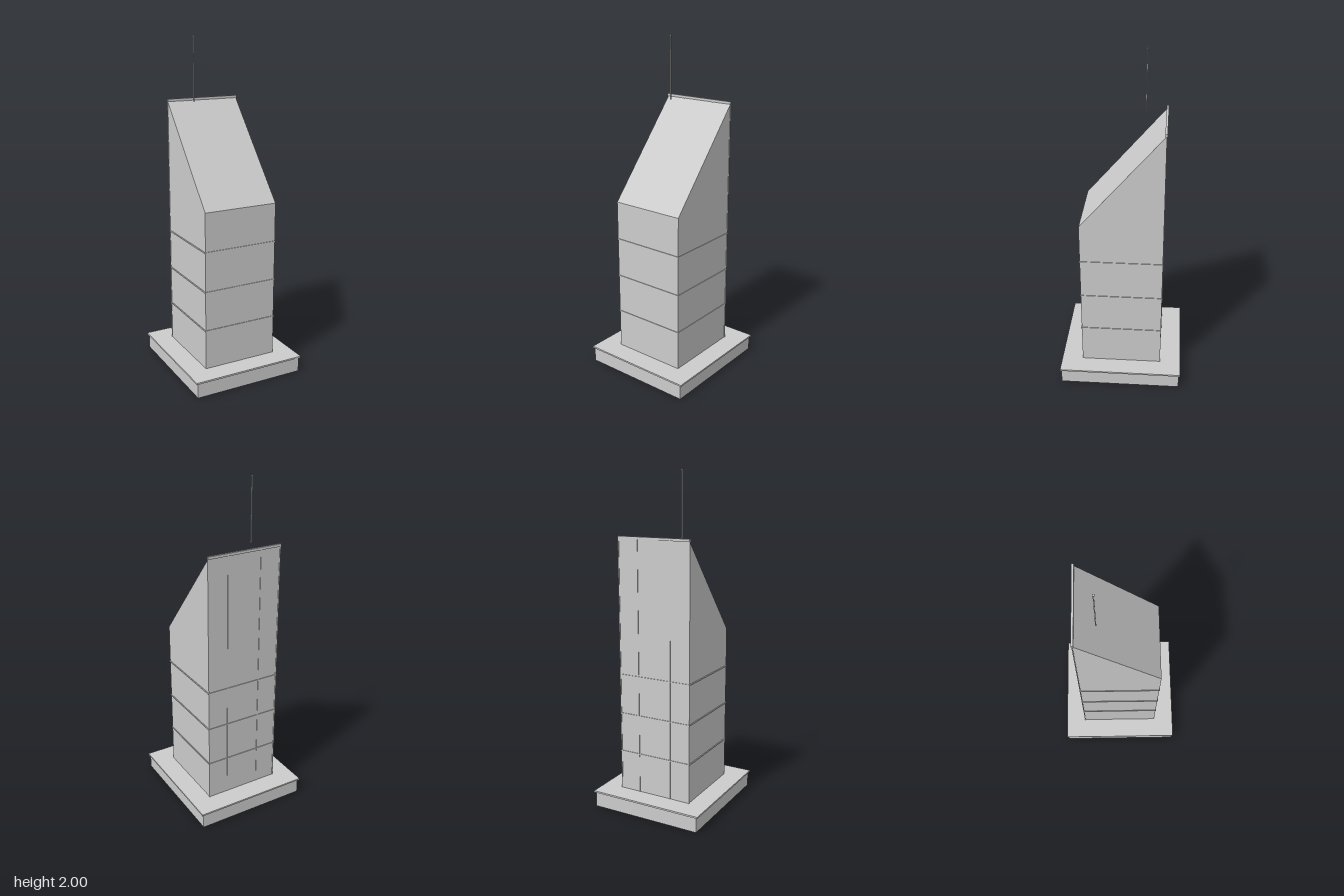
import * as THREE from 'three';

export function createModel() {
  const model = new THREE.Group();
  const grey = new THREE.MeshStandardMaterial({ color: 0xcccccc, side: THREE.DoubleSide });
  grey.name = 'concrete grey';

  function add(name, geometry, x = 0, y = 0, z = 0) {
    const mesh = new THREE.Mesh(geometry, grey);
    mesh.name = name;
    mesh.position.set(x, y, z);
    model.add(mesh);
    return mesh;
  }
  // Box given by its centre in x and z and its bottom and top heights
  const box = (name, w, d, y0, y1, x = 0, z = 0) =>
    add(name, new THREE.BoxGeometry(w, y1 - y0, d), x, (y0 + y1) / 2, z);

  const W = 0.23, D = 0.243;      // half width and half depth of the tower
  const LOW = 1.055, HIGH = 1.62; // roof height at the front and the back

  // Plinth: four thin walls, hollow underneath, closed by the deck
  const PW = 0.343, PD = 0.365, H = 0.09;
  for (const s of [-1, 1]) {
    add('plinthWall', new THREE.PlaneGeometry(PW * 2, H), 0, H / 2, s * PD).rotation.y = s > 0 ? 0 : Math.PI;
    add('plinthWall', new THREE.PlaneGeometry(PD * 2, H), s * PW, H / 2, 0).rotation.y = s * Math.PI / 2;
  }
  box('deck', 0.706, 0.744, 0.09, 0.1);

  // Tower: side profile extruded across the width
  const profile = new THREE.Shape([
    new THREE.Vector2(-D, 0.1), new THREE.Vector2(D, 0.1),
    new THREE.Vector2(D, HIGH), new THREE.Vector2(-D, LOW),
  ]);
  const tower = new THREE.ExtrudeGeometry(profile, { depth: W * 2, bevelEnabled: false });
  tower.translate(0, 0, -W);
  tower.rotateY(Math.PI / 2); // profile x becomes -z
  add('tower', tower);

  // Thin ledges around the tower
  for (const y of [0.34, 0.58, 0.82]) box('floorLedge', W * 2 + 0.008, D * 2 + 0.008, y - 0.004, y + 0.004);

  // Ribs on the back face and posts at its corners
  for (const s of [-1, 1]) {
    box('backRib', 0.006, 0.006, 0.1, HIGH, s * 0.105, -D);
    box('cornerPost', 0.006, 0.006, 0.1, HIGH, s * W, -D);
  }

  // Parapet along the high edge
  box('parapet', W * 2 + 0.004, 0.013, HIGH, 1.635, 0, -D);

  // Antenna floating above the roof slope
  const AX = -0.116, AZ = -0.122;
  box('antennaMast', 0.006, 0.006, 1.63, 1.995, AX, AZ);
  box('antennaCap', 0.011, 0.011, 1.995, 2, AX, AZ);
  box('antennaFoot', 0.008, 0.008, 1.627, 1.632, AX, AZ);

  return model;
}
